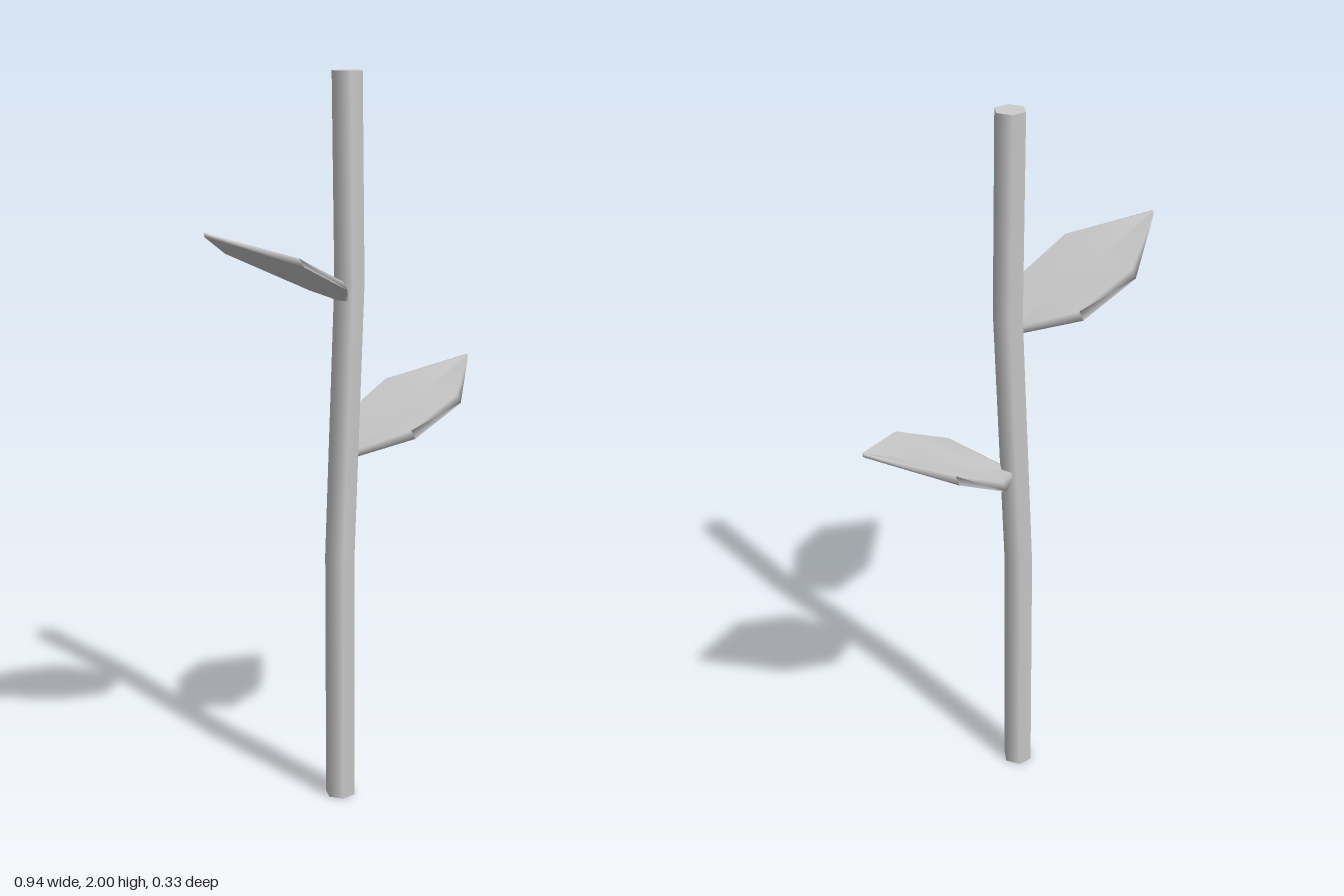
import * as THREE from 'three';

const material = new THREE.MeshStandardMaterial({ color: 0xcccccc });

// Hexagonal stem, bent gently through a few levels
function makeStem() {
  const levels = [[-0.02, 0], [-0.021, 0.7], [0.014, 1.45], [0.006, 2]];
  const last = levels.length - 1;
  const geo = new THREE.CylinderGeometry(0.042, 0.042, last, 6, last);
  geo.rotateY(Math.PI / 6);
  const p = geo.attributes.position;
  for (let i = 0; i < p.count; i++) {
    const [x, y] = levels[Math.round(p.getY(i) + last / 2)];
    p.setXYZ(i, p.getX(i) + x, y, p.getZ(i) - 0.005);
  }
  const stem = new THREE.Mesh(geo, material);
  stem.name = 'stem';
  return stem;
}

// Cupped leaf lofted along +x, with a raised, bevelled margin
function makeLeaf(name) {
  // back margin [x, z], front margin [x, z], margin height, midrib [x, y], thickness, bevel
  const stations = [
    { back: [0.005, -0.02], front: [0.005, 0.02], edge: 0.005, mid: [0.005, 0.003], thick: 0.014, bevel: 0.005 },
    { back: [0.13, -0.153], front: [0.105, 0.157], edge: 0.072, mid: [0.12, 0.052], thick: 0.02, bevel: 0.016 },
    { back: [0.28, -0.157], front: [0.272, 0.162], edge: 0.146, mid: [0.277, 0.122], thick: 0.02, bevel: 0.016 },
    { back: [0.465, -0.006], front: [0.465, 0.002], edge: 0.212, mid: [0.466, 0.212], thick: 0.01, bevel: 0.001 },
  ];
  const points = [], index = [];
  for (const { back, front, edge, mid, thick, bevel } of stations) {
    const midZ = (back[1] + front[1]) / 2;
    points.push(
      back[0], edge - thick, back[1],
      back[0], edge, back[1] + bevel,
      mid[0], mid[1], midZ,
      front[0], edge, front[1] - bevel,
      front[0], edge - thick, front[1],
      mid[0], mid[1] - thick, midZ,
    );
  }
  const n = 6, end = (stations.length - 1) * n;
  for (let s = 0; s < end; s += n) {
    for (let k = 0; k < n; k++) {
      const a = s + k, b = s + (k + 1) % n;
      index.push(a, b, b + n, a, b + n, a + n);
    }
  }
  // End caps
  for (let k = 1; k < n - 1; k++) {
    index.push(0, k + 1, k, end, end + k, end + k + 1);
  }
  const geo = new THREE.BufferGeometry();
  geo.setAttribute('position', new THREE.Float32BufferAttribute(points, 3));
  geo.setIndex(index);
  geo.computeVertexNormals();
  const leaf = new THREE.Mesh(geo, material);
  leaf.name = name;
  return leaf;
}

export function createModel() {
  const group = new THREE.Group();
  group.name = 'plantStem';
  group.add(makeStem());

  const lowerLeaf = makeLeaf('lowerLeaf');
  lowerLeaf.position.set(0, 0.985, 0);
  group.add(lowerLeaf);

  // Upper leaf points the opposite way
  const upperLeaf = makeLeaf('upperLeaf');
  upperLeaf.position.set(-0.004, 1.41, -0.004);
  upperLeaf.rotation.y = Math.PI;
  group.add(upperLeaf);

  return group;
}
